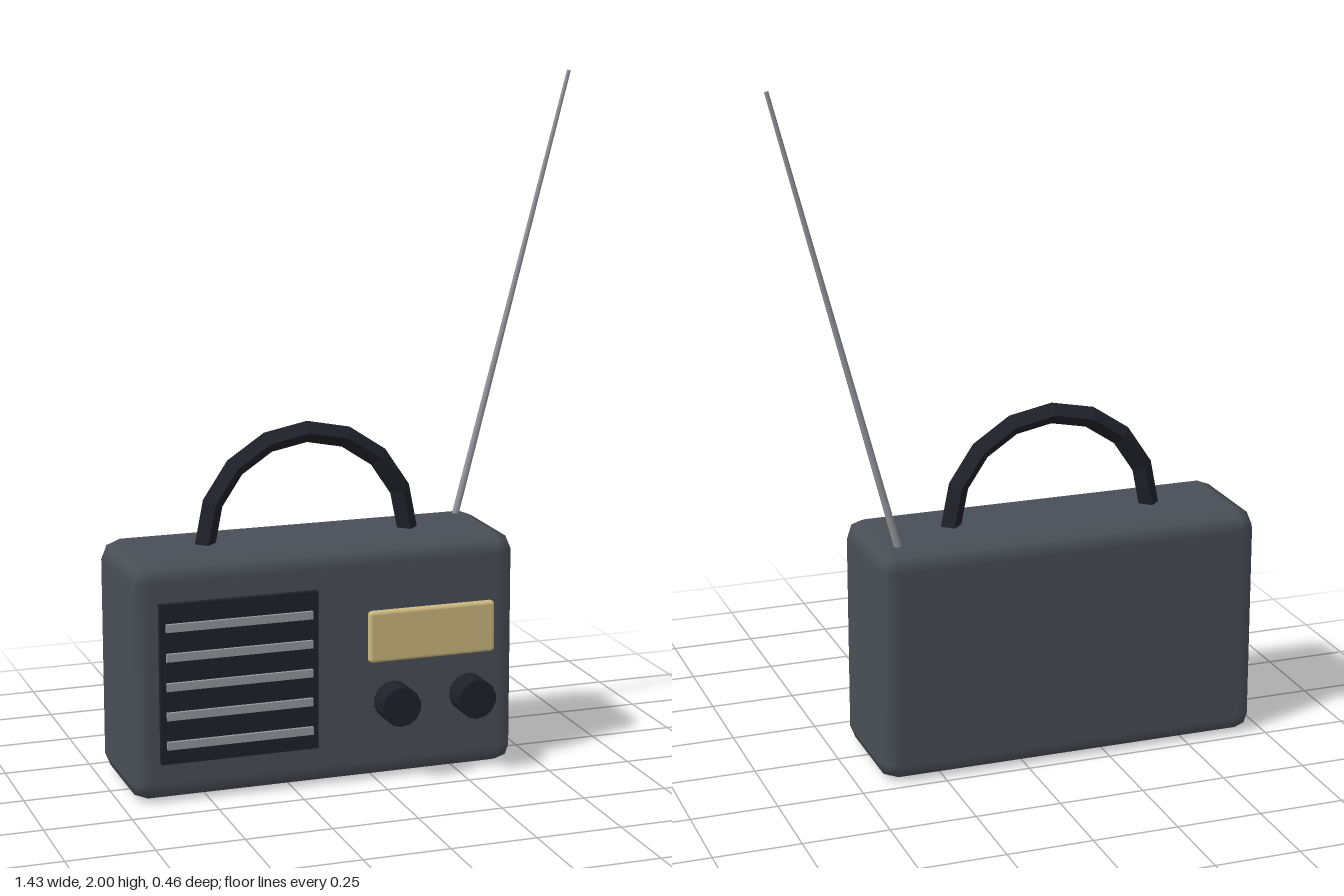
import * as THREE from 'three';
import { RoundedBoxGeometry } from 'three/addons/geometries/RoundedBoxGeometry.js';

function material(name, color, flatShading = false) {
  const m = new THREE.MeshStandardMaterial({ color, flatShading });
  m.name = name;
  return m;
}

export function createModel() {
  const group = new THREE.Group();
  group.name = 'portableRadio';

  const casing = material('slate casing', 0x4a4f57);
  const dark = material('dark plastic', 0x20202a, true);
  const metal = material('grey metal', 0x96989c);
  const cream = material('cream dial', 0xcdb980);

  const add = (name, geometry, mat, x, y, z) => {
    const mesh = new THREE.Mesh(geometry, mat);
    mesh.name = name;
    mesh.position.set(x, y, z);
    group.add(mesh);
    return mesh;
  };

  // Casing with softened edges
  const centreX = -0.143, centreZ = -0.039;
  add('casing', new RoundedBoxGeometry(1.154, 0.692, 0.382, 1, 0.055), casing, centreX, 0.348, centreZ);

  // Speaker panel and its five slats
  add('speakerPanel', new THREE.BoxGeometry(0.462, 0.462, 0.04), dark, -0.411, 0.352, 0.15);
  for (let i = 0; i < 5; i++) {
    add('speakerSlat', new THREE.BoxGeometry(0.428, 0.023, 0.02), metal, -0.412, 0.177 + i * 0.085, 0.17);
  }

  // Tuning dial window
  add('tuningDial', new RoundedBoxGeometry(0.385, 0.152, 0.04, 1, 0.011), cream, 0.167, 0.43, 0.15);

  // Two control knobs facing forward
  for (const x of [0.051, 0.282]) {
    const knob = new THREE.CylinderGeometry(0.058, 0.058, 0.09, 14).rotateX(Math.PI / 2);
    add('knob', knob, dark, x, 0.235, 0.185);
  }

  // Carrying handle: half ring with a diamond section
  add('handle', new THREE.TorusGeometry(0.306, 0.031, 4, 8, Math.PI), dark, centreX, 0.693, centreZ);

  // Tapered antenna leaning to the side
  const base = new THREE.Vector3(0.354, 0.67, -0.155);
  const tip = new THREE.Vector3(0.706, 1.998, -0.155);
  const along = tip.clone().sub(base);
  const middle = base.clone().add(tip).multiplyScalar(0.5);
  const antenna = add('antenna', new THREE.CylinderGeometry(0.006, 0.011, along.length(), 8), metal, middle.x, middle.y, middle.z);
  antenna.quaternion.setFromUnitVectors(new THREE.Vector3(0, 1, 0), along.normalize());

  return group;
}
